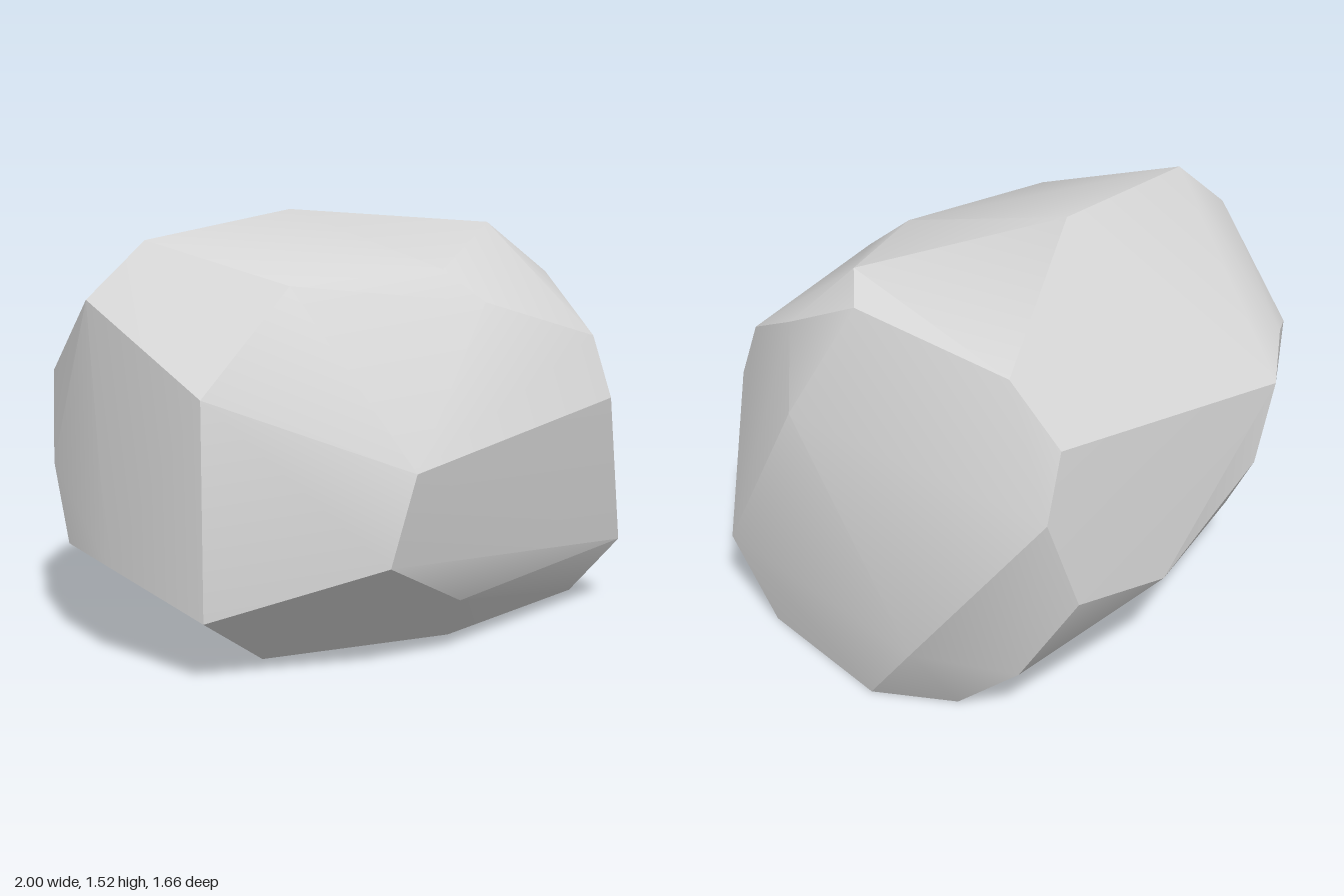
import * as THREE from 'three';
import { ConvexGeometry } from 'three/addons/geometries/ConvexGeometry.js';
import { toCreasedNormals } from 'three/addons/utils/BufferGeometryUtils.js';

// Corners of the boulder, grouped by region: x, y, z
const crown = [
  [-0.04, 1.52, -0.17], [0.64, 1.45, 0.2], [0.77, 1.39, 0.07], [0.81, 1.26, 0.35],
  [0.07, 1.35, 0.5], [0.15, 1.24, 0.63], [-0.55, 1.34, 0.38], [-0.77, 1.47, -0.11],
  [-0.98, 1.28, -0.17], [0.68, 1.3, -0.54], [0.68, 1.12, -0.76],
];
const frontSide = [
  [0.67, 1.07, 0.7], [0.67, 0.85, 0.79], [-0.4, 0.75, 0.83], [-0.47, 0.43, 0.78],
  [-0.06, 0.22, 0.72], [0.86, 0.26, 0.7], [-0.92, 1.0, 0.35], [-0.92, 0.24, 0.35],
];
const flanks = [
  [0.92, 0.98, 0.26], [1.0, 0.31, -0.37], [-1.0, 0.37, -0.06],
  [-0.94, 0.38, -0.36], [-0.93, 0.66, -0.45],
];
const backSide = [
  [0.77, 0.89, -0.78], [0.64, 0.53, -0.81], [0.2, 0.42, -0.83], [-0.32, 0.66, -0.83],
  [-0.44, 0.93, -0.82], [-0.66, 1.01, -0.68], [-0.82, 0.96, -0.59],
  [0.75, 0.22, -0.64], [-0.64, 0.2, -0.5],
];
const base = [
  [0.87, 0, 0.46], [0.95, 0, -0.12], [0.79, 0, -0.39],
  [-0.42, 0, -0.24], [-0.55, 0, 0.23], [0.12, 0, 0.5],
];

export function createModel() {
  const stone = new THREE.MeshStandardMaterial({ color: 0xd6d6d6 });
  stone.name = 'pale stone grey';

  // Chiselled hull: crisp main facets, gently blended shallow ones
  const points = [crown, frontSide, flanks, backSide, base].flat()
    .map((p) => new THREE.Vector3(...p));
  const hull = toCreasedNormals(new ConvexGeometry(points), THREE.MathUtils.degToRad(30));

  const boulder = new THREE.Mesh(hull, stone);
  boulder.name = 'boulder';

  const group = new THREE.Group();
  group.name = 'rock';
  group.add(boulder);
  return group;
}
